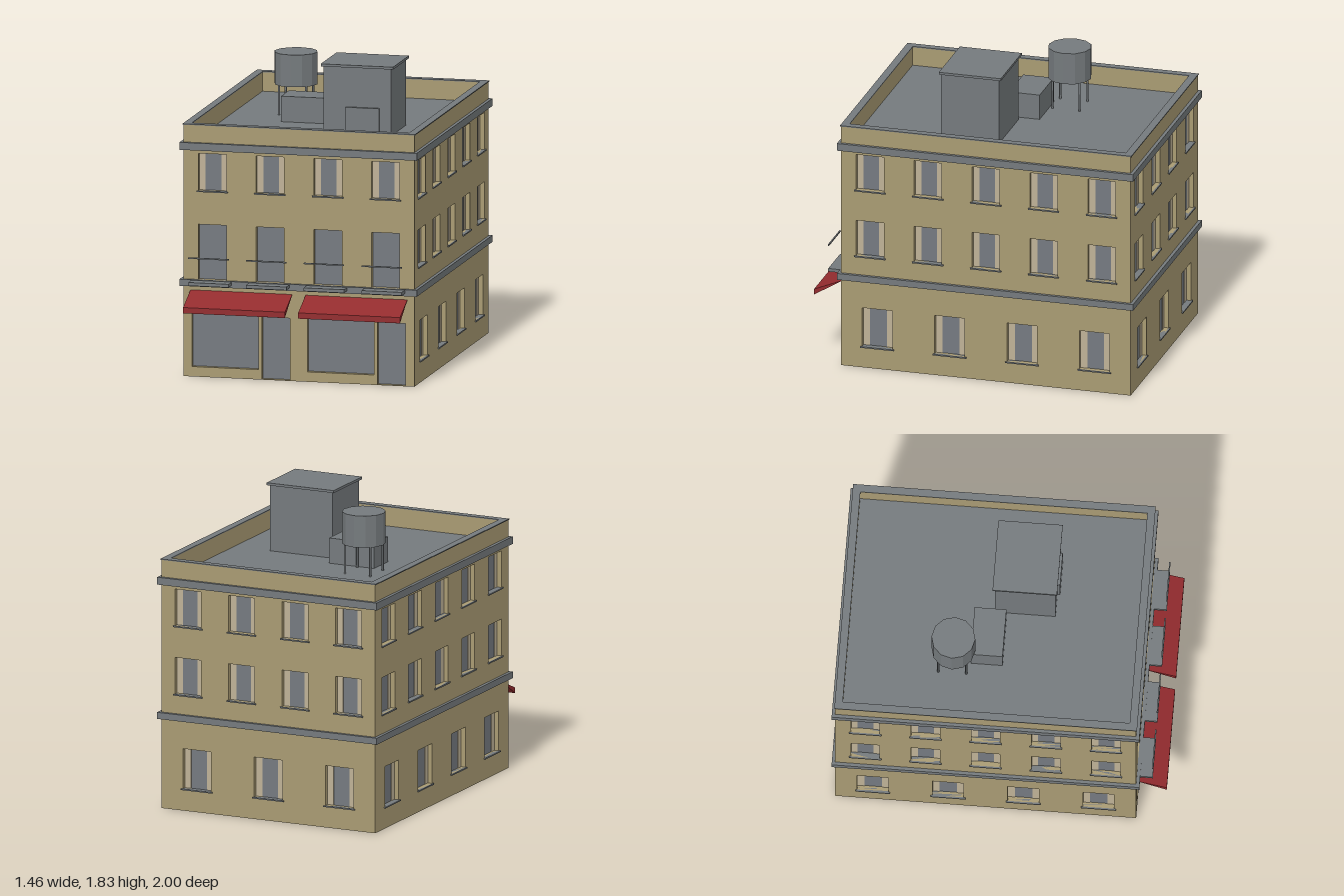
import * as THREE from 'three';

const HX = 0.71, HZ = 0.9, CZ = -0.08, TOP = 1.525, ROOF = 1.41, DEPTH = 0.03;

function makeMaterial(name, color, side = THREE.FrontSide) {
  const m = new THREE.MeshStandardMaterial({ color, side });
  m.name = name;
  return m;
}

export function createModel() {
  const stone = makeMaterial('sandstone', 0xa99b73, THREE.DoubleSide);
  const trim = makeMaterial('grey trim', 0x757a7d);
  const glass = makeMaterial('grey glass', 0x757a80, THREE.DoubleSide);
  const curtainMat = makeMaterial('pale curtain', 0xbfb297);
  const red = makeMaterial('red canvas', 0x932b2e);

  const model = new THREE.Group();
  model.name = 'building';

  const add = (parent, name, geometry, material, x = 0, y = 0, z = 0) => {
    const mesh = new THREE.Mesh(geometry, material);
    mesh.name = name;
    mesh.position.set(x, y, z);
    parent.add(mesh);
    return mesh;
  };
  // Box given by its minimum and maximum on each axis
  const box = (parent, name, mat, x0, x1, y0, y1, z0, z1) =>
    add(parent, name, new THREE.BoxGeometry(x1 - x0, y1 - y0, z1 - z0), mat,
      (x0 + x1) / 2, (y0 + y1) / 2, (z0 + z1) / 2);

  const rectangle = (Type, x0, x1, y0, y1) => {
    const r = new Type();
    r.moveTo(x0, y0);
    r.lineTo(x1, y0);
    r.lineTo(x1, y1);
    r.lineTo(x0, y1);
    r.closePath();
    return r;
  };

  // Horizontal rectangular ring around the building
  const ring = (name, mat, outset, inset, y0, y1) => {
    const shape = rectangle(THREE.Shape, -HX - outset, HX + outset, -HZ - outset, HZ + outset);
    shape.holes.push(rectangle(THREE.Path, -HX + inset, HX - inset, -HZ + inset, HZ - inset));
    const g = new THREE.ExtrudeGeometry(shape, { depth: y1 - y0, bevelEnabled: false });
    g.rotateX(-Math.PI / 2);
    add(model, name, g, mat, 0, y0, CZ);
  };

  // Open rectangular tube lining an opening
  const revealGeometry = (w, h) => {
    let g = new THREE.CylinderGeometry(Math.SQRT1_2, Math.SQRT1_2, 1, 4, 1, true);
    g.rotateY(Math.PI / 4);
    g.rotateX(Math.PI / 2);
    g.scale(w, h, DEPTH);
    g = g.toNonIndexed();
    g.computeVertexNormals();
    return g;
  };

  // Wall with recessed openings; local z points outward
  const wall = (name, half, openings, x, z, turn) => {
    const group = new THREE.Group();
    group.name = name;
    group.position.set(x, 0, z);
    group.rotation.y = turn;
    model.add(group);
    const shape = rectangle(THREE.Shape, -half, half, 0, TOP);
    for (const o of openings) {
      shape.holes.push(rectangle(THREE.Path, o.x - o.w / 2, o.x + o.w / 2, o.y0, o.y1));
      const h = o.y1 - o.y0, cy = (o.y0 + o.y1) / 2;
      add(group, 'reveal', revealGeometry(o.w, h), stone, o.x, cy, -DEPTH / 2);
      add(group, o.kind + 'Pane', new THREE.PlaneGeometry(o.w, h), glass, o.x, cy, -DEPTH);
      if (o.kind !== 'window') continue;
      for (const s of [-1, 1]) {
        const cw = o.w * 0.22;
        add(group, 'curtain', new THREE.BoxGeometry(cw, h, 0.005), curtainMat,
          o.x + s * (o.w - cw) / 2, cy, -DEPTH);
      }
      box(group, 'sill', trim, o.x - o.w / 2 - 0.01, o.x + o.w / 2 + 0.01,
        o.y0 - 0.008, o.y0, -DEPTH, 0.01);
    }
    add(group, 'wallFace', new THREE.ShapeGeometry(shape), stone);
  };

  // Evenly spaced row of openings
  const row = (half, count, y0, y1, w, kind = 'window') =>
    Array.from({ length: count }, (_, i) =>
      ({ x: (i + 0.5 - count / 2) * 2 * half / count, w, y0, y1, kind }));

  const upper = (half, n) => row(half, n, 1.13, 1.355, 0.172);
  const middle = (half, n) => row(half, n, 0.71, 0.935, 0.172);
  const ground = (half, n) => row(half, n, 0.135, 0.38, 0.187);

  const shopFront = [];
  for (const x of [-0.71, 0]) {
    shopFront.push({ x: x + 0.257, w: 0.41, y0: 0.06, y1: 0.42, kind: 'shop' });
    shopFront.push({ x: x + 0.569, w: 0.174, y0: 0.003, y1: 0.38, kind: 'door' });
  }
  wall('frontWall', HX, [...upper(HX, 4), ...row(HX, 4, 0.59, 0.925, 0.172, 'balconyDoor'), ...shopFront],
    0, CZ + HZ, 0);
  wall('backWall', HX, [...upper(HX, 4), ...middle(HX, 4), ...ground(HX, 3)], 0, CZ - HZ, Math.PI);
  for (const s of [-1, 1]) {
    wall(s > 0 ? 'leftWall' : 'rightWall', HZ,
      [...upper(HZ, 5), ...middle(HZ, 5), ...ground(HZ, 4)], s * HX, CZ, s * Math.PI / 2);
  }

  // Bands, parapet and roof
  ring('lowerBand', trim, 0.02, 0.001, 0.55, 0.59);
  ring('cornice', trim, 0.02, 0.001, 1.375, 1.42);
  ring('parapetLining', stone, -0.004, 0.04, ROOF, TOP);
  ring('coping', trim, 0.005, 0.042, TOP, TOP + 0.006);
  box(model, 'roof', trim, -0.7, 0.7, ROOF - 0.01, ROOF, CZ - 0.89, CZ + 0.89);

  // Balconies with a slim rail
  for (const x of [-0.5325, -0.1775, 0.1775, 0.5325]) {
    box(model, 'balconySlab', trim, x - 0.124, x + 0.124, 0.567, 0.587, 0.82, 0.915);
    box(model, 'balconyRail', trim, x - 0.124, x + 0.124, 0.731, 0.739, 0.91, 0.918);
  }

  // Wedge-shaped awnings; profile runs outward from the wall
  const profile = new THREE.Shape();
  profile.moveTo(0.82, 0.525);
  profile.lineTo(1.0, 0.415);
  profile.lineTo(1.0, 0.45);
  profile.closePath();
  for (const x of [-0.354, 0.354]) {
    const g = new THREE.ExtrudeGeometry(profile, { depth: 0.626, bevelEnabled: false });
    g.rotateY(-Math.PI / 2);
    add(model, 'awning', g, red, x + 0.313, 0, 0);
  }

  // Stair house
  box(model, 'stairHouse', trim, 0.015, 0.43, ROOF, 1.815, -0.08, 0.28);
  box(model, 'stairHouseRoof', trim, 0, 0.445, 1.815, 1.83, -0.095, 0.29);
  box(model, 'stairHouseDoor', trim, 0.155, 0.36, ROOF, 1.575, 0.28, 0.297);

  // Roof unit and water tank
  box(model, 'roofUnit', trim, -0.32, -0.02, ROOF, 1.565, -0.2, -0.01);
  const tank = new THREE.CylinderGeometry(0.131, 0.131, 0.195, 12).toNonIndexed();
  tank.computeVertexNormals();
  add(model, 'waterTank', tank, trim, -0.303, 1.6875, -0.305);
  for (const sx of [-1, 1]) for (const sz of [-1, 1]) {
    add(model, 'tankLeg', new THREE.CylinderGeometry(0.007, 0.007, 1.59 - ROOF, 6), trim,
      -0.303 + sx * 0.084, (1.59 + ROOF) / 2, -0.305 + sz * 0.084);
  }
  return model;
}
